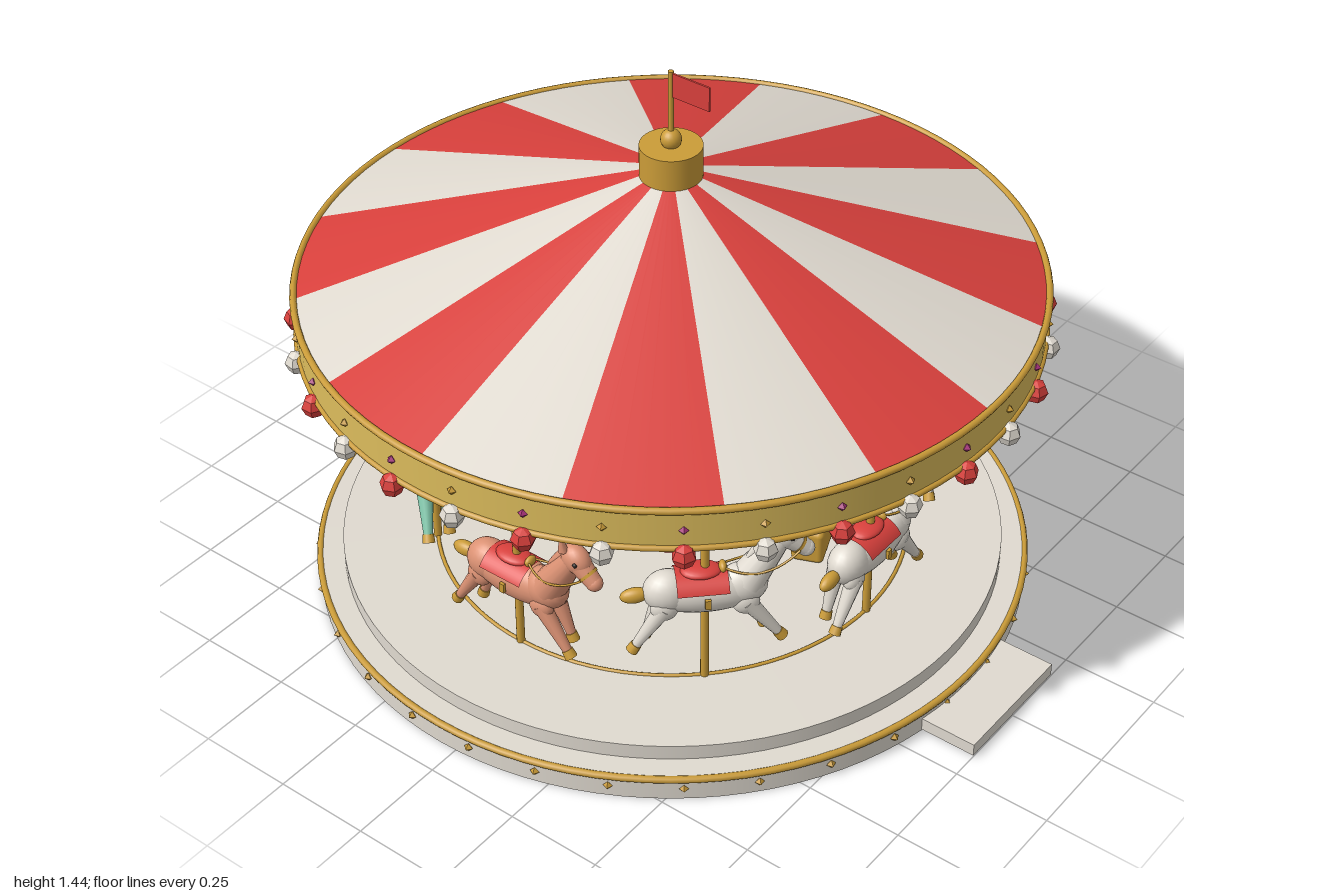
import * as THREE from 'three';
import { RoundedBoxGeometry } from 'three/addons/geometries/RoundedBoxGeometry.js';

const mat = (name, color, side = THREE.FrontSide) => {
  const m = new THREE.MeshStandardMaterial({ color, side });
  m.name = name;
  return m;
};

export function createModel() {
  const red = mat('red', 0xd8403c, THREE.DoubleSide);
  const cream = mat('cream', 0xe0dad0, THREE.DoubleSide);
  const gold = mat('gold', 0xcb9c38);
  const yellow = mat('pale gold', 0xdcbc5c);
  const blue = mat('blue', 0x82b6dc);
  const magenta = mat('magenta', 0xa8327a);
  const salmon = mat('salmon', 0xdc9274);
  const mint = mat('mint', 0x82c8ac);
  const pink = mat('pink', 0xdc84a2);
  const dark = mat('dark', 0x2c2622);

  const model = new THREE.Group();
  model.name = 'carousel';
  const body = new THREE.Group();
  body.name = 'carouselBody';
  body.position.x = -0.048;
  model.add(body);

  const add = (parent, name, geo, material, x = 0, y = 0, z = 0) => {
    const m = new THREE.Mesh(geo, material);
    m.name = name;
    m.position.set(x, y, z);
    parent.add(m);
    return m;
  };
  const cyl = (r, h, seg = 64, r2 = r) => new THREE.CylinderGeometry(r2, r, h, seg);
  // horizontal ring
  const ring = (name, r, t, y, material = gold) => {
    const m = add(body, name, new THREE.TorusGeometry(r, t, 8, 96), material, 0, y, 0);
    m.rotation.x = Math.PI / 2;
    return m;
  };
  // tapered rod between two points
  const rod = (parent, name, a, b, ra, rb, material, seg = 10) => {
    const p = new THREE.Vector3(...a), q = new THREE.Vector3(...b);
    const d = q.clone().sub(p);
    const m = add(parent, name, new THREE.CylinderGeometry(rb, ra, d.length(), seg), material);
    m.position.copy(p).add(q).multiplyScalar(0.5);
    m.quaternion.setFromUnitVectors(new THREE.Vector3(0, 1, 0), d.normalize());
    return m;
  };
  const ball = (parent, name, pos, scale, material, tilt = 0) => {
    const m = add(parent, name, new THREE.SphereGeometry(1, 20, 14), material, ...pos);
    m.scale.set(...scale);
    m.rotation.z = tilt;
    return m;
  };

  // platform, deck and ramp
  add(body, 'platform', cyl(0.917, 0.066, 96), cream, 0, 0.033, 0);
  ring('platformRim', 0.915, 0.009, 0.06);
  add(body, 'deck', cyl(0.853, 0.041, 96), cream, 0, 0.0865, 0);
  ring('deckTrack', 0.61, 0.005, 0.107);
  add(body, 'ramp', new THREE.BoxGeometry(0.148, 0.034, 0.356), cream, 0.974, 0.021, 0);

  // centre column with mirror panels
  add(body, 'column', cyl(0.153, 0.68, 48), red, 0, 0.445, 0);
  for (let i = 0; i < 8; i++) {
    const g = new THREE.Group();
    g.name = 'mirrorPanel';
    g.rotation.y = i * Math.PI / 4;
    body.add(g);
    add(g, 'mirror', new THREE.BoxGeometry(0.112, 0.375, 0.009), blue, 0, 0.495, 0.153);
    for (const y of [0.305, 0.685])
      add(g, 'mirrorRail', new THREE.BoxGeometry(0.122, 0.009, 0.012), gold, 0, y, 0.153);
    for (const s of [-1, 1])
      add(g, 'mirrorPost', new THREE.BoxGeometry(0.008, 0.385, 0.012), gold, s * 0.058, 0.495, 0.153);
  }

  // canopy: band with rims, striped roof, cap, finial and flag
  add(body, 'canopyBand', cyl(0.918, 0.105, 96), yellow, 0, 0.826, 0);
  ring('bandTopRim', 0.918, 0.009, 0.879);
  ring('bandBottomRim', 0.918, 0.008, 0.774);
  const step = Math.PI / 8;
  for (let j = 0; j < 16; j++)
    add(body, 'roofStripe', new THREE.CylinderGeometry(0.07, 0.915, 0.282, 6, 1, true, j * step, step),
      j % 2 ? red : cream, 0, 1.02, 0);
  add(body, 'roofCap', cyl(0.077, 0.085, 40), gold, 0, 1.199, 0);
  ball(body, 'finial', [0, 1.257, 0], [0.026, 0.026, 0.026], gold);
  add(body, 'flagPole', cyl(0.007, 0.19, 12), gold, 0, 1.347, 0);
  add(body, 'flag', new THREE.BoxGeometry(0.108, 0.064, 0.005), red, 0.06, 1.406, 0);

  // hanging bulbs and studs around the rims
  const bulbGeo = new THREE.SphereGeometry(0.03, 6, 4).toNonIndexed();
  bulbGeo.computeVertexNormals();
  const studGeo = new THREE.OctahedronGeometry(0.012);
  for (let i = 0; i < 32; i++) {
    const a = (i + 0.5) * Math.PI / 16, c = Math.cos(a), s = Math.sin(a);
    const b = add(body, 'bulb', bulbGeo, i % 2 ? cream : red, c * 0.924, 0.757, s * 0.924);
    b.rotation.y = -a;
    add(body, 'bandStud', studGeo, i % 2 ? gold : magenta, c * 0.92, 0.826, s * 0.92).rotation.y = -a;
    add(body, 'platformStud', studGeo, gold, c * 0.919, 0.034, s * 0.919).rotation.y = -a;
  }

  // benches
  for (const s of [1, -1]) {
    const b = add(body, 'bench', new RoundedBoxGeometry(0.085, 0.1, 0.2, 3, 0.015), gold,
      s * 0.35, 0.156, -s * 0.146);
    b.rotation.y = Math.PI / 8;
  }

  // galloping horse facing local +x, pole through its origin
  const horse = (coat) => {
    const h = new THREE.Group();
    h.name = 'horse';
    ball(h, 'torso', [0, 0, 0], [0.15, 0.058, 0.052], coat);
    ball(h, 'chest', [0.09, 0.01, 0], [0.062, 0.054, 0.046], coat);
    ball(h, 'rump', [-0.09, 0.005, 0], [0.06, 0.055, 0.048], coat);
    rod(h, 'neck', [0.1, 0.02, 0], [0.182, 0.148, 0], 0.046, 0.027, coat, 16);
    ball(h, 'head', [0.187, 0.148, 0], [0.043, 0.036, 0.03], coat, -0.6);
    rod(h, 'muzzle', [0.19, 0.145, 0], [0.24, 0.102, 0], 0.029, 0.021, coat, 14);
    ball(h, 'nose', [0.24, 0.102, 0], [0.022, 0.021, 0.021], coat);
    rod(h, 'noseband', [0.219, 0.12, 0], [0.225, 0.115, 0], 0.0265, 0.0255, gold, 16);
    ball(h, 'mane', [0.128, 0.11, 0], [0.018, 0.07, 0.012], coat, -0.55);
    ball(h, 'tail', [-0.168, -0.002, 0], [0.036, 0.02, 0.018], gold, 0.1);
    // saddle draped over the back
    const cloth = new THREE.CylinderGeometry(0.066, 0.066, 0.125, 20, 1, true, -1.05, 2.1);
    const c = add(h, 'saddleCloth', cloth, red, -0.01, -0.006, 0);
    c.rotation.set(0, Math.PI / 2, 0);
    c.rotation.order = 'YXZ';
    c.rotation.x = -Math.PI / 2;
    ball(h, 'saddle', [-0.01, 0.06, 0], [0.05, 0.014, 0.034], red);
    ball(h, 'saddleHorn', [0.042, 0.066, 0], [0.01, 0.014, 0.018], gold);
    for (const s of [-1, 1]) {
      rod(h, 'ear', [0.162, 0.172, s * 0.017], [0.157, 0.222, s * 0.022], 0.013, 0.002, coat, 8);
      ball(h, 'eye', [0.203, 0.153, s * 0.026], [0.006, 0.006, 0.005], dark);
      add(h, 'stirrup', new THREE.BoxGeometry(0.014, 0.026, 0.008), gold, 0, 0, s * 0.058);
      const rein = new THREE.QuadraticBezierCurve3(new THREE.Vector3(0.222, 0.115, s * 0.026),
        new THREE.Vector3(0.13, 0.045, s * 0.06), new THREE.Vector3(0.045, 0.068, s * 0.01));
      add(h, 'rein', new THREE.TubeGeometry(rein, 12, 0.003, 6), gold);
      // legs, one of each pair reaching further
      const legs = [[0.095, s > 0 ? 0.172 : 0.14, -0.128], [-0.1, s > 0 ? -0.168 : -0.135, -0.132]];
      for (const [x0, x1, y1] of legs) {
        const foot = [x1, y1, s * 0.027];
        ball(h, 'thigh', [x0, -0.028, s * 0.026], [0.034, 0.034, 0.022], coat);
        rod(h, 'leg', [x0, -0.025, s * 0.027], foot, 0.023, 0.012, coat);
        const d = [x1 - x0, y1 + 0.025], k = 0.022 / Math.hypot(...d);
        rod(h, 'hoof', foot, [x1 + d[0] * k, y1 + d[1] * k, s * 0.027], 0.014, 0.016, gold);
      }
    }
    return h;
  };

  // eight horses on poles, alternating in height
  const coats = [salmon, cream, cream, cream, blue, pink, yellow, mint];
  coats.forEach((coat, i) => {
    const a = i * Math.PI / 4, x = Math.sin(a) * 0.61, z = Math.cos(a) * 0.61;
    add(body, 'horsePole', cyl(0.0105, 0.68, 14), gold, x, 0.445, z);
    const h = horse(coat);
    h.position.set(x, i % 2 ? 0.382 : 0.32, z);
    h.rotation.y = a;
    body.add(h);
  });

  return model;
}
